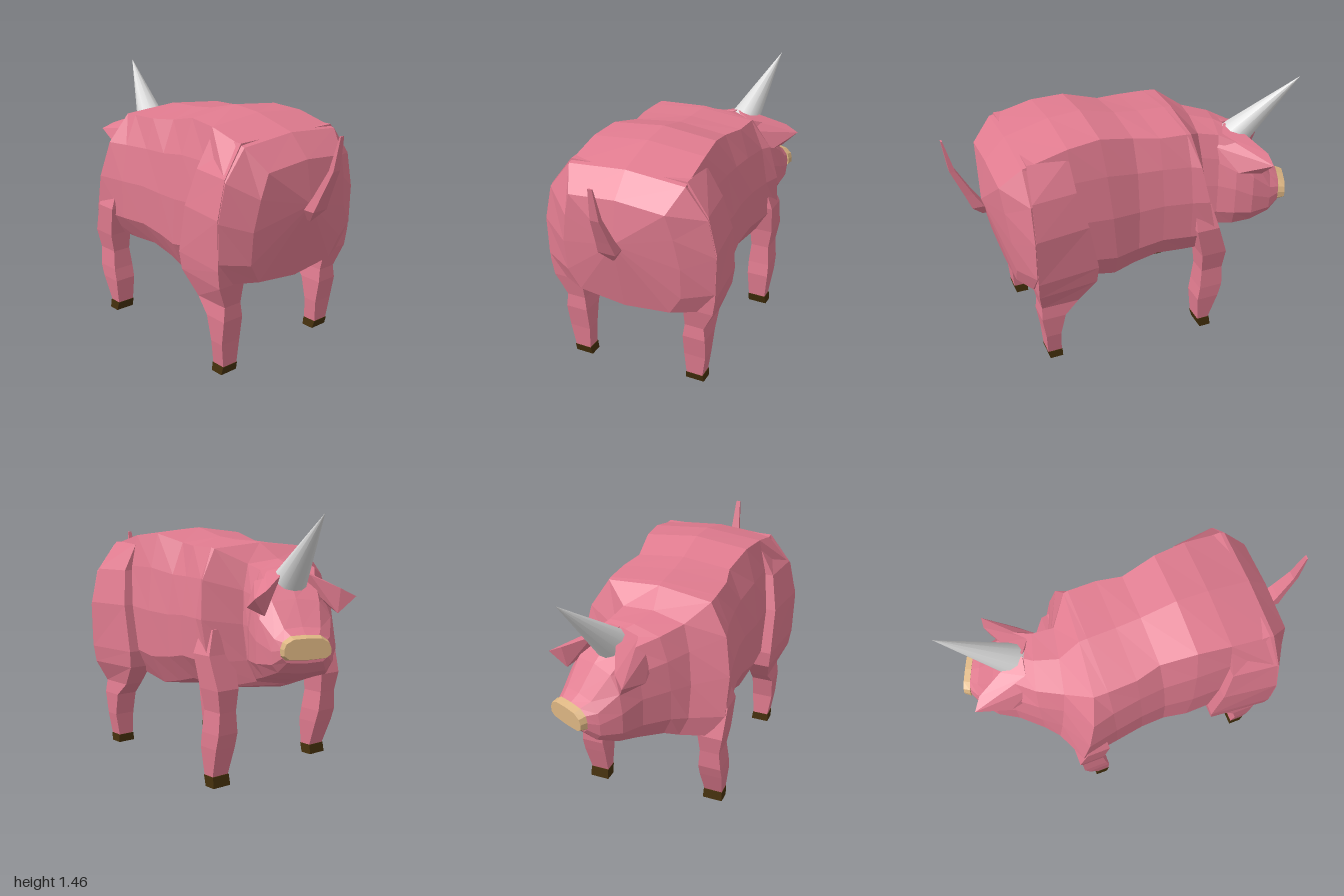
import * as THREE from 'three';
import { ConvexGeometry } from 'three/addons/geometries/ConvexGeometry.js';

const material = (name, color) => Object.assign(new THREE.MeshStandardMaterial({ color }), { name });

// Flat-shaded skin through a list of closed rings, capped at both ends
function loft(rings, endTip) {
  const n = rings[0].length, pos = [];
  const tri = (...pts) => pts.forEach((p) => pos.push(p.x, p.y, p.z));
  const mid = (r) => r.reduce((s, p) => s.add(p), new THREE.Vector3()).divideScalar(n);
  for (let i = 0; i < rings.length - 1; i++) {
    for (let j = 0; j < n; j++) {
      const k = (j + 1) % n, a = rings[i], b = rings[i + 1];
      tri(a[j], a[k], b[k]);
      tri(a[j], b[k], b[j]);
    }
  }
  const first = rings[0], last = rings[rings.length - 1];
  const c0 = mid(first), c1 = endTip || mid(last);
  for (let j = 0; j < n; j++) {
    const k = (j + 1) % n;
    tri(c0, first[k], first[j]);
    tri(c1, last[j], last[k]);
  }
  const g = new THREE.BufferGeometry();
  g.setAttribute('position', new THREE.Float32BufferAttribute(pos, 3));
  g.computeVertexNormals();
  return g;
}

// Upright cross-section: centre x/z, yaw in degrees, top, bottom, half width, back-line width, lean
function section([x, z, yaw, top, bottom, w, back = 0.78, lean = 0]) {
  const a = THREE.MathUtils.degToRad(yaw), h = top - bottom;
  const half = [[back, 0.965], [0.91, 0.76], [1, 0.5], [0.99, 0.22], [0.79, 0.05]];
  const outline = [[0, 1], ...half, [0, 0], ...half.map(([u, v]) => [-u, v]).reverse()];
  return outline.map(([u, v]) => new THREE.Vector3(
    x + u * w * Math.sin(a) + lean * (v - 0.5), bottom + v * h, z + u * w * Math.cos(a)));
}

// Column of four-sided rings listed from the top down as [y, x0, x1, z0, z1, z1 at the front];
// shift moves the upper part along x, lift raises the foot
function column(rows, side = 1, shift = 0, lift = 0) {
  return loft(rows.map(([y, x0, x1, z0, z1, zFront = z1]) => {
    const d = shift * Math.min(1, y), up = lift * Math.max(0, 1 - y / 0.6);
    const ring = [[x1, z1], [x0, zFront], [x0, z0], [x1, z0]]
      .map(([x, z]) => new THREE.Vector3(x + d, y + up, z * side));
    return side < 0 ? ring.reverse() : ring;
  }));
}

export function createModel() {
  const pig = new THREE.Group();
  pig.name = 'hornedPig';
  const skin = material('pinkSkin', 0xe07b8f);
  const hoofMat = material('brownHoof', 0x45300c);
  const snoutMat = material('tanSnout', 0xdcb582);
  const hornMat = material('paleHorn', 0xdadada);
  const add = (name, geometry, mat) => {
    const mesh = new THREE.Mesh(geometry, mat);
    mesh.name = name;
    pig.add(mesh);
    return mesh;
  };

  // Head, turned to one side, running through a narrow neck
  const head = [
    [-0.9, -0.234, -24, 0.865, 0.725, 0.12, 0.6],
    [-0.855, -0.21, -24, 0.9, 0.665, 0.16, 0.6],
    [-0.76, -0.165, -24, 1.03, 0.615, 0.21, 0.6],
    [-0.66, -0.115, -21, 1.145, 0.58, 0.22, 0.65],
    [-0.56, -0.03, -15, 1.185, 0.555, 0.235, 0.7],
    [-0.48, 0.02, -11, 1.21, 0.53, 0.255, 0.75, 0.1],
  ];
  // Broad sloping shoulders, barrel and rump
  const trunk = [
    [-0.39, 0, -5, 1.295, 0.51, 0.45, 0.68, 0.17],
    [-0.26, 0, 0, 1.3, 0.5, 0.415, 0.74],
    [-0.1, 0, 0, 1.305, 0.5, 0.39],
    [0.04, 0, 0, 1.32, 0.46, 0.378, 0.72],
    [0.2, 0, 0, 1.37, 0.43, 0.4, 0.76, 0.08],
    [0.42, 0, 0, 1.355, 0.485, 0.405, 0.8],
    [0.665, 0, 0, 1.29, 0.52, 0.5, 0.66],
    [0.75, 0, 0, 1.17, 0.52, 0.34, 0.8, 0.06],
  ];
  add('body', loft([...head, ...trunk].map(section), new THREE.Vector3(0.82, 0.94, 0)), skin);

  // Snout plate
  add('snout', loft([
    [-0.935, -0.25, -24, 0.855, 0.75, 0.122, 0.6],
    [-0.9, -0.234, -24, 0.868, 0.74, 0.13, 0.6],
  ].map(section)), snoutMat);

  // Ears meeting behind the horn, mirrored across the turned head: [sideways, y, forward]
  const earPoints = [
    [0.275, 1.04, 0.2], [0.2, 0.95, 0.147], [0.245, 0.98, 0.012], [0.19, 1.01, -0.09],
    [0.11, 1.155, -0.08], [0.085, 1.14, 0.06], [0.2, 1.08, 0.175], [0.16, 1.1, -0.11],
    [0.005, 1.18, -0.06],
  ];
  for (const side of [1, -1]) {
    const pts = earPoints.map(([l, y, f]) => new THREE.Vector3(
      -0.66 - 0.93 * f - 0.36 * l * side, y, -0.105 - 0.36 * f + 0.93 * l * side));
    add(side > 0 ? 'nearEar' : 'farEar', new ConvexGeometry(pts), skin);
  }

  // Horn
  const root = new THREE.Vector3(-0.645, 1.09, -0.105), tip = new THREE.Vector3(-1, 1.455, -0.215);
  const axis = tip.clone().sub(root);
  const horn = add('horn', new THREE.ConeGeometry(0.095, axis.length(), 12), hornMat);
  horn.position.copy(root).addScaledVector(axis, 0.5);
  horn.quaternion.setFromUnitVectors(new THREE.Vector3(0, 1, 0), axis.normalize());

  // Legs with haunches and hooves, in a diagonal walking pose
  const frontLeg = [
    [0.85, -0.43, -0.33, 0.25, 0.4], [0.72, -0.455, -0.32, 0.28, 0.45],
    [0.54, -0.505, -0.355, 0.3, 0.44], [0.42, -0.49, -0.36, 0.31, 0.42],
    [0.3, -0.485, -0.345, 0.3, 0.43], [0.22, -0.46, -0.33, 0.3, 0.43],
    [0.06, -0.405, -0.335, 0.31, 0.415],
  ];
  const frontHoof = [[0.06, -0.41, -0.332, 0.308, 0.417], [0, -0.417, -0.348, 0.305, 0.42]];
  const hindLeg = [
    [1.28, 0.42, 0.64, 0.15, 0.33], [1.12, 0.41, 0.655, 0.2, 0.45, 0.42],
    [0.92, 0.36, 0.66, 0.25, 0.5, 0.46], [0.65, 0.31, 0.66, 0.3, 0.495, 0.46],
    [0.55, 0.32, 0.655, 0.31, 0.48, 0.45], [0.42, 0.42, 0.63, 0.31, 0.42],
    [0.34, 0.5, 0.635, 0.3, 0.43], [0.2, 0.53, 0.615, 0.3, 0.425],
    [0.06, 0.525, 0.605, 0.31, 0.405],
  ];
  const hindHoof = [[0.06, 0.522, 0.608, 0.308, 0.408], [0.01, 0.52, 0.595, 0.303, 0.41]];
  for (const side of [1, -1]) {
    const near = side > 0, label = near ? 'near' : 'far';
    const shift = near ? 0 : 0.05, frontLift = near ? 0.055 : 0, hindLift = near ? 0 : 0.045;
    add(label + 'FrontLeg', column(frontLeg, side, shift, frontLift), skin);
    add(label + 'FrontHoof', column(frontHoof, side, shift, frontLift), hoofMat);
    add(label + 'HindLeg', column(hindLeg, side, 0, hindLift), skin);
    add(label + 'HindHoof', column(hindHoof, side, 0, hindLift), hoofMat);
  }

  // Raised tail
  add('tail', column([
    [1.33, 0.992, 1, -0.012, 0.012], [1.15, 0.945, 0.975, -0.025, 0.025],
    [1.0, 0.865, 0.912, -0.04, 0.04], [0.92, 0.815, 0.88, -0.05, 0.05],
    [0.85, 0.79, 0.82, -0.004, 0.004],
  ]), skin);

  return pig;
}
